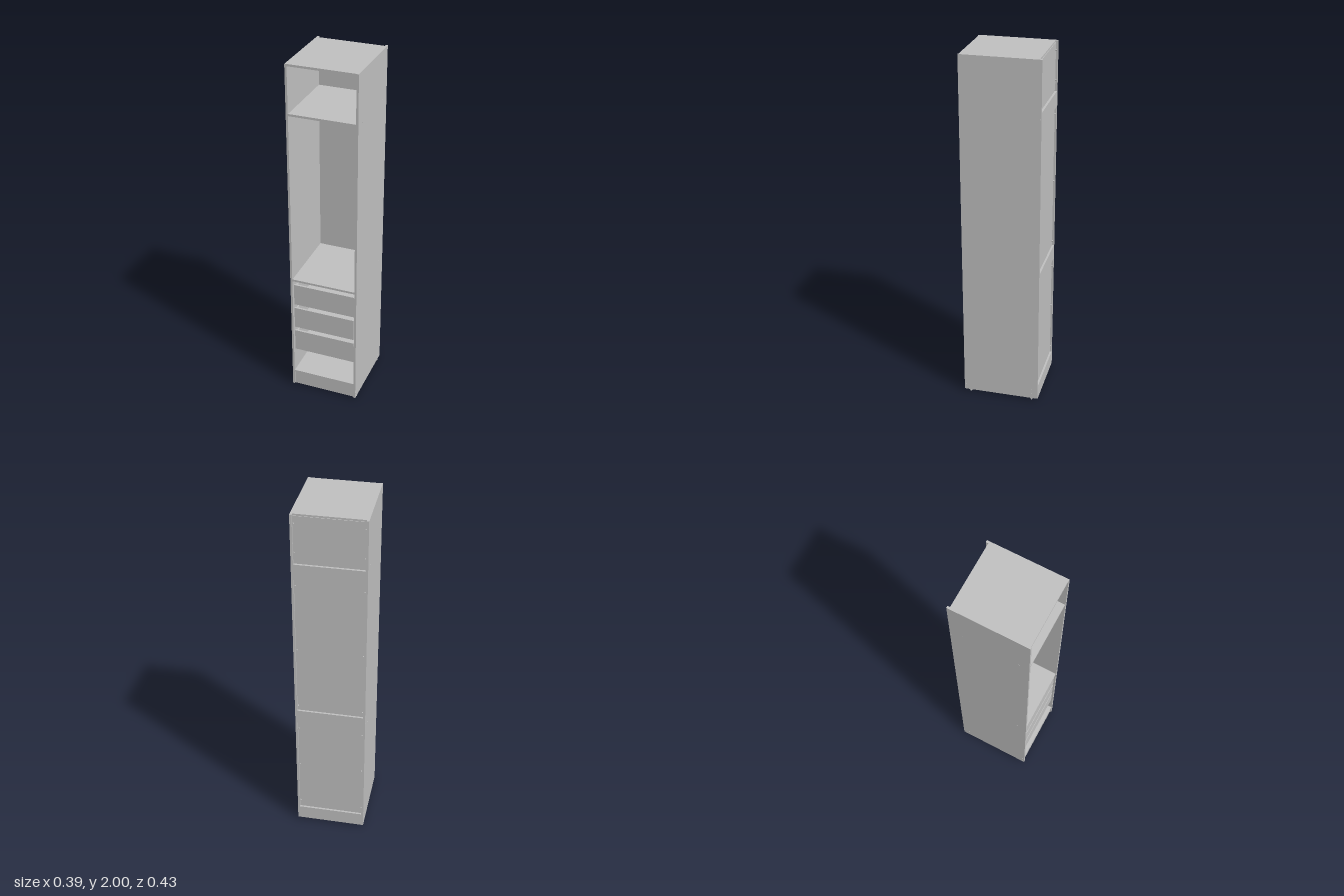
import * as THREE from 'three';

export function createModel() {
  const model = new THREE.Group();
  model.name = 'wardrobe';
  const grey = new THREE.MeshStandardMaterial({ color: 0xc0c0c0 });
  grey.name = 'light grey';

  // Box given by its min and max corners
  const box = (name, x0, x1, y0, y1, z0, z1, parent = model) => {
    const mesh = new THREE.Mesh(new THREE.BoxGeometry(x1 - x0, y1 - y0, z1 - z0), grey);
    mesh.position.set((x0 + x1) / 2, (y0 + y1) / 2, (z0 + z1) / 2);
    mesh.name = name;
    parent.add(mesh);
    return mesh;
  };
  const cylinder = (name, radius, length, x, y, z, axis, parent = model) => {
    const geo = new THREE.CylinderGeometry(radius, radius, length, 16);
    if (axis === 'x') geo.rotateZ(Math.PI / 2);
    if (axis === 'z') geo.rotateX(Math.PI / 2);
    const mesh = new THREE.Mesh(geo, grey);
    mesh.position.set(x, y, z);
    mesh.name = name;
    parent.add(mesh);
    return mesh;
  };

  const W = 0.195, IN = 0.183, FRONT = 0.216, BACK = -0.217;

  // Carcass sides with feet, screw caps and back panel clips
  for (const s of [-1, 1]) {
    const side = s > 0 ? 'left' : 'right';
    box(side + 'SidePanel', s > 0 ? IN : -W, s > 0 ? W : -IN, 0.01, 2, BACK, FRONT);
    for (const z of [-0.18, 0.18]) cylinder(side + 'Foot', 0.006, 0.012, s * 0.188, 0.006, z, 'y');
    const caps = [
      [1.727, 0.16], [1.727, -0.145], [0.733, 0.16], [0.733, -0.145],
      [1.69, -0.21], [0.77, -0.21], [0.04, -0.18], [0.07, -0.18], [0.04, 0.205], [0.07, 0.205],
    ];
    for (const [y, z] of caps) cylinder(side + 'ScrewCap', 0.003, 0.003, s * W, y, z, 'x');
    for (const y of [1.79, 1.95, 1.6, 1.21, 0.84, 0.68, 0.42, 0.14])
      cylinder(side + 'BackClip', 0.004, 0.008, s * 0.178, y, -0.209, 'z');
  }

  // Horizontal boards
  box('topPanel', -IN, IN, 1.988, 2, -0.203, 0.213);
  box('upperShelf', -IN, IN, 1.722, 1.734, -0.203, 0.213);
  box('middleShelf', -IN, IN, 0.727, 0.739, -0.203, 0.213);
  box('bottomShelf', -IN, IN, 0.094, 0.106, -0.203, 0.213);

  // Front and rear plinths
  box('frontPlinth', -IN, IN, 0.01, 0.094, 0.196, 0.208);
  box('rearPlinth', -IN, IN, 0.01, 0.094, BACK, -0.205);

  // Back panels, with cross rails behind their joints
  for (const [y0, y1] of [[0.094, 0.727], [0.739, 1.722], [1.734, 1.99]])
    box('backPanel', -IN, IN, y0, y1, -0.206, -0.203);
  box('upperBackRail', -IN, IN, 1.64, 1.727, BACK, -0.205);
  box('lowerBackRail', -IN, IN, 0.725, 0.81, BACK, -0.205);

  // Clothes rod between two end sockets
  cylinder('clothesRod', 0.011, 2 * IN, 0, 1.673, 0, 'x');
  for (const s of [-1, 1]) cylinder('rodSocket', 0.015, 0.008, s * 0.179, 1.673, 0, 'x');

  // Three drawers
  for (const y of [0.26, 0.415, 0.57]) {
    const drawer = new THREE.Group();
    drawer.name = 'drawer';
    model.add(drawer);
    box('drawerFront', -0.178, 0.178, y, y + 0.13, 0.195, 0.207, drawer);
    box('drawerSide', -0.176, -0.166, y + 0.01, y + 0.12, -0.185, 0.195, drawer);
    box('drawerSide', 0.166, 0.176, y + 0.01, y + 0.12, -0.185, 0.195, drawer);
    box('drawerBack', -0.166, 0.166, y + 0.01, y + 0.12, -0.185, -0.175, drawer);
    box('drawerBottom', -0.166, 0.166, y + 0.012, y + 0.017, -0.175, 0.195, drawer);
    for (const s of [-1, 1]) box('drawerRunner', s * 0.1795 - 0.0035, s * 0.1795 + 0.0035, y + 0.03, y + 0.045, -0.18, 0.19, drawer);
  }
  return model;
}
